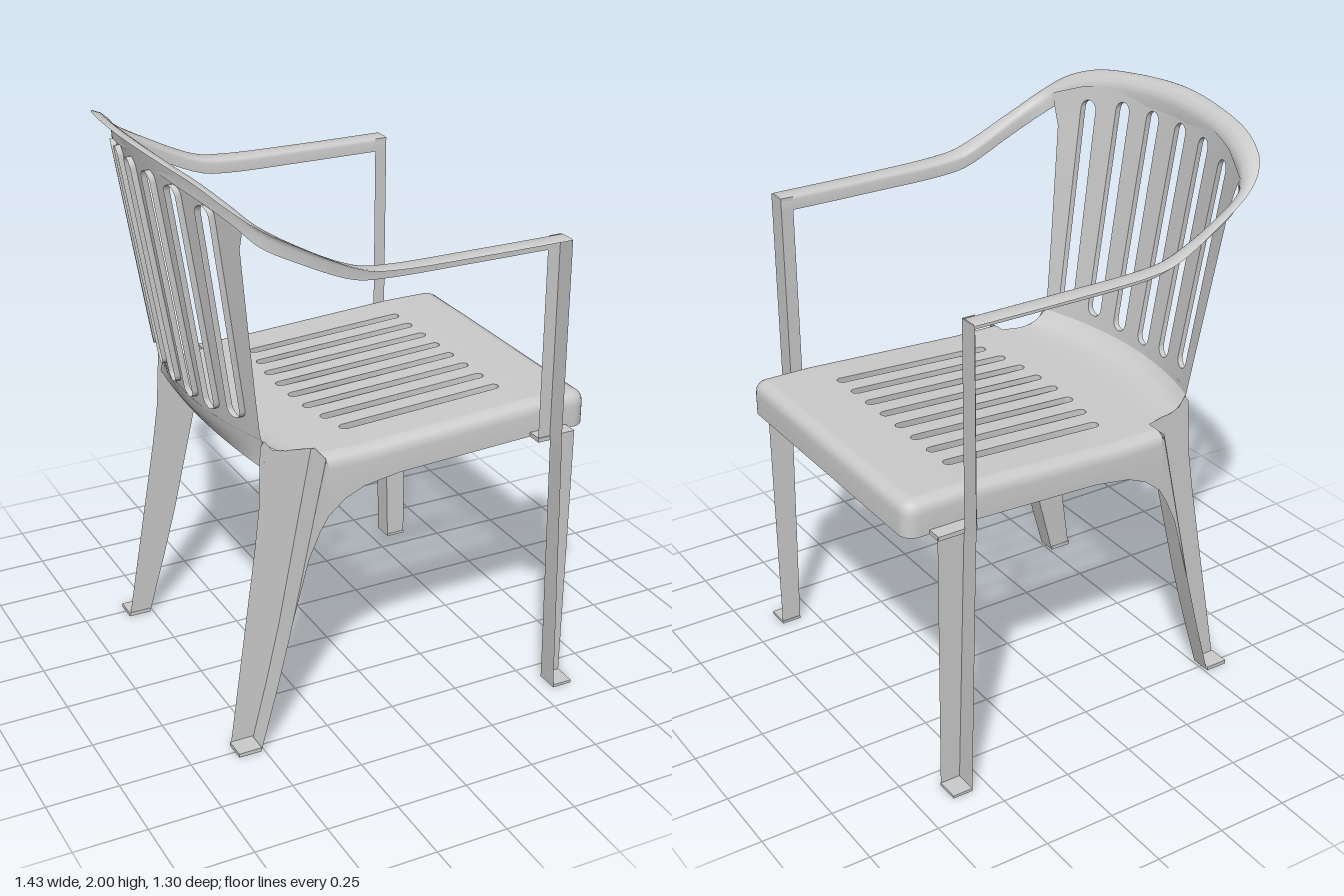
import * as THREE from 'three';
import { toCreasedNormals } from 'three/addons/utils/BufferGeometryUtils.js';

const material = new THREE.MeshStandardMaterial({ color: 0xcccccc, side: THREE.DoubleSide });
const lerp = THREE.MathUtils.lerp;

function add(group, name, geometry, crease = 0.6) {
  const mesh = new THREE.Mesh(toCreasedNormals(geometry, crease), material);
  mesh.name = name;
  group.add(mesh);
}

// Surface through rows of [x, y, z] points; skip(i, j) leaves a cell open
function sheet(rows, skip = () => false) {
  const n = rows[0].length, index = [];
  for (let i = 0; i < rows.length - 1; i++)
    for (let j = 0; j < n - 1; j++) {
      if (skip(i, j)) continue;
      const a = i * n + j, b = a + n;
      index.push(a, b, a + 1, b, b + 1, a + 1);
    }
  const g = new THREE.BufferGeometry();
  g.setAttribute('position', new THREE.Float32BufferAttribute(rows.flat(2), 3));
  g.setIndex(index);
  g.computeVertexNormals();
  return g;
}

function box(x0, x1, y0, y1, z0, z1) {
  return new THREE.BoxGeometry(x1 - x0, y1 - y0, Math.abs(z1 - z0))
    .translate((x0 + x1) / 2, (y0 + y1) / 2, (z0 + z1) / 2);
}

// Flat sheet with an outline in x and y, placed at depth z(y)
function plate(points, z) {
  const g = new THREE.ShapeGeometry(new THREE.Shape(points.map(p => new THREE.Vector2(...p))));
  const p = g.attributes.position;
  for (let i = 0; i < p.count; i++) p.setZ(i, z(p.getY(i)));
  g.computeVertexNormals();
  return g;
}

// Piecewise linear lookup in [x, y] pairs with rising x
function lookup(table, x) {
  for (let i = 1; i < table.length; i++)
    if (x <= table[i][0] || i === table.length - 1) {
      const [a, b] = [table[i - 1], table[i]];
      return b[1] + (a[1] - b[1]) * THREE.MathUtils.clamp((b[0] - x) / (b[0] - a[0]), 0, 1);
    }
}

// Curved panel with round-ended slots [u0, v0, u1, v1], mirrored about u = 0.
// edge(v) is the half width, top(u) the far end, place(u, v, depth) puts a point in space.
function addSlotted(group, name, { slots, width, edge, bottom, top, place, flange }) {
  const r = width / 2, columns = [], all = [...slots.map(([a, b, c, d]) => [-a, b, -c, d]).reverse(), ...slots];
  const side = s => ({ u: v => s * edge(v), lo: all[0][1] + r, hi: all[0][3] - r, id: s * 100 });
  columns.push(side(-1));
  all.forEach(([u0, v0, u1, v1], id) => {
    for (let k = 0; k <= 8; k++) {
      const a = (k / 8 - 0.5) * Math.PI, cut = r * (1 - Math.cos(a));
      columns.push({ id, lo: v0 + cut, hi: v1 - cut, u: v => lerp(u0, u1, (v - v0) / (v1 - v0)) + r * Math.sin(a) });
    }
  });
  columns.push(side(1));
  const rows = columns.map(c => {
    const end = top(c.u(c.hi)), vs = [];
    for (let i = 0; i < 4; i++) vs.push(lerp(bottom, c.lo, i / 4));
    for (let i = 0; i < 8; i++) vs.push(lerp(c.lo, c.hi, i / 8));
    for (let i = 0; i <= 4; i++) vs.push(lerp(c.hi, end, i / 4));
    return vs.map(v => place(c.u(v), v, 0));
  });
  add(group, name, sheet(rows, (i, j) => columns[i].id === columns[i + 1].id && j >= 4 && j < 12), 1);

  // Short walls lining each slot
  all.forEach((_, id) => {
    const own = columns.filter(c => c.id === id);
    const loop = [...own.map(c => [c.u(c.lo), c.lo]), ...own.map(c => [c.u(c.hi), c.hi]).reverse()];
    loop.push(loop[0]);
    add(group, name + 'SlotWall', sheet(loop.map(([u, v]) => [place(u, v, 0), place(u, v, flange)])), 0.8);
  });
}

const seatHeight = x => lookup([[-0.1, 1.03], [0.5, 1.06]], x);
const apron = [[-0.26, 0.82], [-0.2, 0.87], [-0.13, 0.9], [0, 0.92], [0.5, 0.94], [0.71, 0.94]];

function addSeat(group) {
  addSlotted(group, 'seatPanel', {
    slots: [-0.17, -0.165, -0.15, -0.13].map((start, i) => [0.05 + 0.1 * i, start, 0.05 + 0.1 * i, 0.47]),
    width: 0.036, edge: () => 0.485, bottom: -0.27, top: () => 0.669, flange: 0.025,
    place: (z, x, d) => [x, seatHeight(x) - d, z],
  });

  // Rounded rim and apron around the sides and front
  const half = [];
  for (const x of [-0.27, -0.26, -0.2, -0.13, -0.1, 0, 0.25, 0.5, 0.6]) half.push([x, 0.53, 0, 1]);
  for (let i = 0; i <= 6; i++) {
    const a = Math.PI / 2 * (1 - i / 6), c = Math.cos(a), s = Math.sin(a);
    half.push([0.664 + 0.05 * c, 0.48 + 0.05 * s, c, s]);
  }
  const path = [...half, ...half.map(([x, z, nx, nz]) => [x, -z, nx, -nz]).reverse()];
  const rim = [[0.046, 0], [0.028, 0.003], [0.012, 0.012], [0.003, 0.025], [0, 0.045]];
  add(group, 'seatApron', sheet(path.map(([x, z, nx, nz]) => [
    ...rim.map(([inset, drop]) => [x - nx * inset, seatHeight(x) - drop, z - nz * inset]),
    [x, lookup(apron, x), z]])), 1);

  // Curve from the seat into the backrest, with a rear lip below
  const bend = [[-0.27, 1.03, 0, 0.45], [-0.36, 1.03, 0.3, 0.43], [-0.42, 1.033, 0.65, 0.43], [-0.465, 1.042, 0.9, 0.428],
    [-0.495, 1.06, 1, 0.425], [-0.516, 1.085, 1, 0.42]];
  const lip = [[-0.516, 1.1, 1, 0.42], [-0.51, 1.06, 1, 0.425], [-0.49, 1.015, 0.75, 0.428], [-0.47, 0.985, 0.4, 0.428]];
  const rows = list => list.map(([x, y, k, w]) => Array.from({ length: 17 }, (_, j) => {
    const z = w * (j / 8 - 1);
    return [x + k * 0.4 * z * z, y, z];
  }));
  add(group, 'seatBackCurve', sheet(rows(bend)), 1);
  add(group, 'rearLip', sheet(rows(lip)), 1);
}

function addBack(group) {
  const edge = [[1.08, 0.42], [1.25, 0.435], [1.55, 0.465], [1.8, 0.49], [1.86, 0.53]];
  const top = [[0, 1.95], [0.12, 1.95], [0.25, 1.94], [0.4, 1.915], [0.53, 1.86]];
  addSlotted(group, 'backrest', {
    slots: [[0.07, 1.11, 0.077, 1.9], [0.205, 1.12, 0.225, 1.895], [0.34, 1.14, 0.375, 1.87]],
    width: 0.062, edge: y => lookup(edge, y), bottom: 1.085, top: z => lookup(top, Math.abs(z)), flange: 0.02,
    place: (z, y, d) => [-0.655 + (1.93 - y) * 0.165 + 0.4 * z * z - d, y, z],
  });
}

function addRail(group) {
  // Outer and inner edge of the arm and top rail: [x, y, z] each
  const outer = [[0.535, 1.667, 0.65], [0.2, 1.668, 0.65], [-0.1, 1.675, 0.65], [-0.2, 1.69, 0.646], [-0.4, 1.785, 0.625],
    [-0.53, 1.86, 0.595], [-0.6, 1.915, 0.54], [-0.65, 1.96, 0.43], [-0.69, 1.985, 0.26], [-0.715, 2, 0]];
  const inner = [[0.535, 1.667, 0.58], [0.2, 1.668, 0.58], [-0.1, 1.672, 0.58], [-0.2, 1.685, 0.58], [-0.38, 1.765, 0.577],
    [-0.5, 1.83, 0.555], [-0.55, 1.88, 0.5], [-0.592, 1.918, 0.4], [-0.63, 1.945, 0.25], [-0.65, 1.96, 0]];
  const curve = half => new THREE.CatmullRomCurve3([...half, ...half.slice(0, -1).reverse().map(([x, y, z]) => [x, y, -z])]
    .map(p => new THREE.Vector3(...p)));
  const o = curve(outer), n = curve(inner), rows = [];
  for (let i = 0; i <= 90; i++) {
    const a = o.getPoint(i / 90), b = n.getPoint(i / 90);
    const arch = 0.012 * THREE.MathUtils.smoothstep(-a.x, 0.3, 0.65);
    const at = (t, drop) => { const p = a.clone().lerp(b, t); return [p.x, p.y - drop, p.z]; };
    // Open channel: gently arched top rolling over into an inner wall
    rows.push([at(0, 0.003), at(0.1, -arch * 0.2), at(0.5, -arch), at(0.85, -arch * 0.7), at(0.96, 0.004), at(1, 0.014), at(1, 0.05)]);
  }
  add(group, 'armAndTopRail', sheet(rows), 1);
}

function addSide(group, s, label) {
  // Arm post: angle section open to the back and outside
  add(group, label + 'ArmPost', sheet([0.94, 1.665].map(y =>
    [[0.49, y, s * 0.58], [0.535, y, s * 0.58], [0.535, y, s * 0.65]])));
  add(group, label + 'Bracket', box(0.49, 0.63, 0.94, 0.955, s * 0.525, s * 0.583));

  // Front leg: angle section open to the front and outside, on a foot
  add(group, label + 'FrontLeg', sheet([[0.56, 0.57, 0], [0.537, 0.58, 0.95]].map(([x, z, y]) =>
    [[0.632, y, s * z], [x, y, s * z], [x, y, s * 0.65]])));
  add(group, label + 'FrontFoot', box(0.56, 0.632, 0, 0.01, s * 0.568, s * 0.65));

  // Rear leg: angle section open to the back and outside, on a foot
  const innerZ = y => s * (0.46 - 0.032 * y);
  const front = [[-0.51, 0], [-0.45, 0.22], [-0.4, 0.42], [-0.335, 0.725], [-0.27, 1.028]];
  add(group, label + 'RearLegInnerWall', plate([...front, [-0.36, 1.03], [-0.41, 1.045], [-0.435, 1.08],
    [-0.45, 1.06], [-0.455, 0.95], [-0.46, 0.85], [-0.48, 0.7], [-0.535, 0.35], [-0.59, 0]], innerZ));
  add(group, label + 'RearLegFrontWall', sheet(front.map(([x, y]) => [[x, y, innerZ(y)], [x, y, s * 0.532]])), 1);
  add(group, label + 'RearLegGusset', plate([[-0.4, 0.42], [-0.36, 0.57], [-0.33, 0.68], [-0.29, 0.77], [-0.26, 0.82],
    [-0.26, 1.0], [-0.27, 1.02]], () => s * 0.53));
  add(group, label + 'RearFoot', box(-0.592, -0.51, 0, 0.014, s * 0.458, s * 0.535));
}

export function createModel() {
  const group = new THREE.Group();
  group.name = 'armchair';
  addSeat(group);
  addBack(group);
  addRail(group);
  addSide(group, 1, 'left');
  addSide(group, -1, 'right');
  return group;
}
